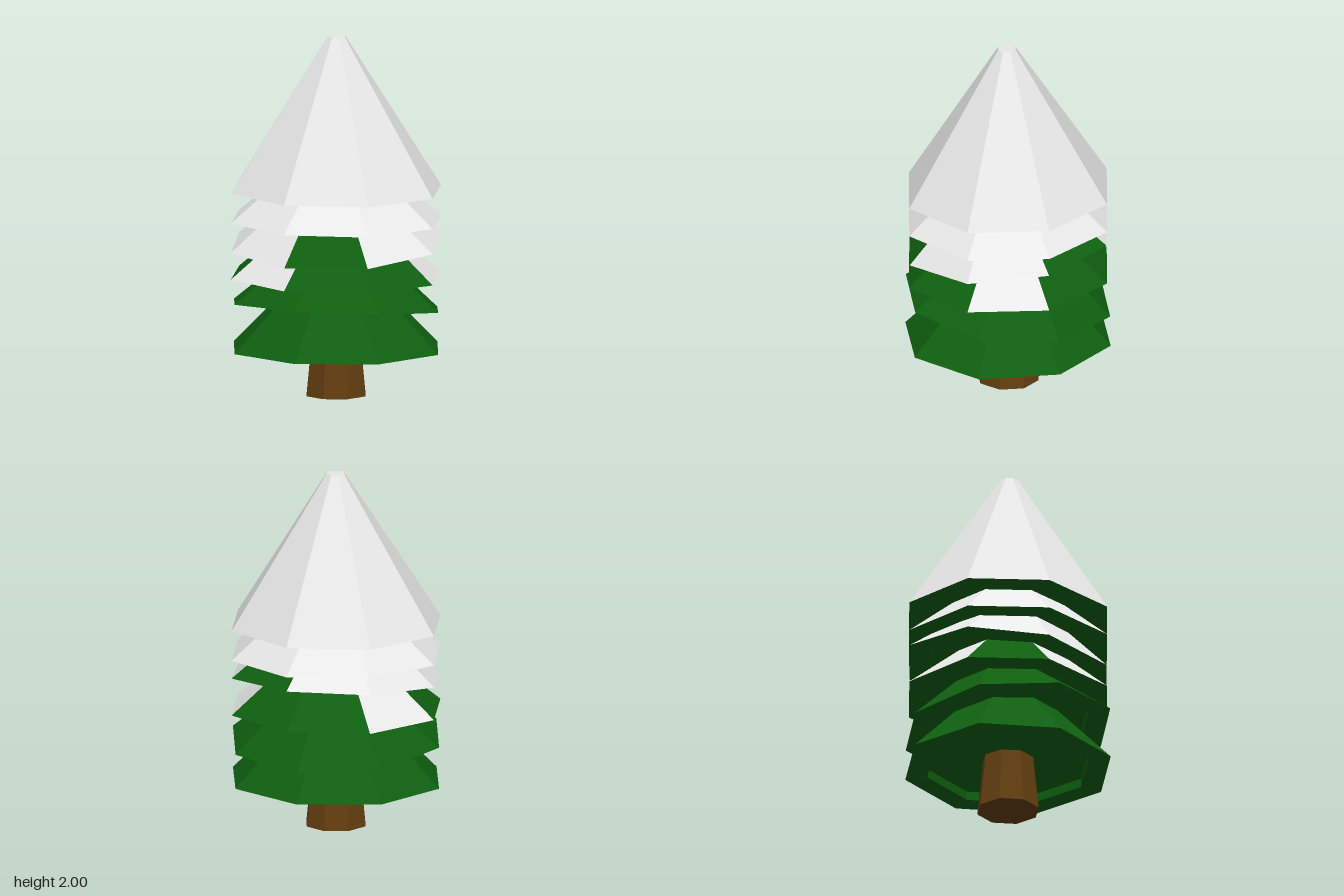
import * as THREE from 'three';

const SIDES = 8;

export function createModel() {
  const mat = (name, color) => {
    const m = new THREE.MeshStandardMaterial({ color, flatShading: true });
    m.name = name;
    return m;
  };
  const needles = mat('needleGreen', 0x0f5f10);
  const snow = mat('snowWhite', 0xe7e7e7);
  const bark = mat('barkBrown', 0x643f10);

  const model = new THREE.Group();
  model.name = 'snowyTree';

  // Tapered octagonal trunk, running up into the lowest tier
  const trunk = new THREE.Mesh(new THREE.CylinderGeometry(0.14, 0.175, 0.34, SIDES), bark);
  trunk.name = 'trunk';
  trunk.position.y = 0.17;
  model.add(trunk);

  // One branch tier: a frustum with a recessed underside.
  // snowSides has one character per side, "1" where snow covers the slope.
  function tierGeometry(topRadius, height, snowSides) {
    const profile = [[0, 0.05], [0.48, 0.05], [0.48, 0], [0.61, 0], [topRadius, height], [0, height]]
      .map(([x, y]) => new THREE.Vector2(x, y));
    const lathe = new THREE.LatheGeometry(profile, SIDES);
    const perSide = (profile.length - 1) * 6;
    for (let i = 0; i < SIDES; i++) {
      lathe.addGroup(i * perSide, 18, 0); // underside
      lathe.addGroup(i * perSide + 18, 12, Number(snowSides[i])); // slope and top
    }
    lathe.scale(1, 1, 0.96);
    const geometry = lathe.toNonIndexed();
    geometry.computeVertexNormals();
    return geometry;
  }

  // Tiers from bottom to top; sides are counted from the front towards +x
  const tiers = [
    { y: 0.26, r: 0.25, h: 0.36, tilt: 0, yaw: 0, roll: 0, snow: '00000000' },
    { y: 0.495, r: 0.27, h: 0.28, tilt: -0.098, yaw: 0, roll: 0, snow: '00000000' },
    { y: 0.664, r: 0.27, h: 0.28, tilt: 0.006, yaw: -0.11, roll: -0.009, snow: '00100101' },
    { y: 0.843, r: 0.27, h: 0.28, tilt: 0.095, yaw: -0.11, roll: -0.01, snow: '01101111' },
    { y: 0.977, r: 0.27, h: 0.28, tilt: 0.005, yaw: -0.11, roll: -0.008, snow: '11111111' },
    { y: 1.145, r: 0.053, h: 0.855, tilt: 0.006, yaw: -0.11, roll: -0.006, snow: '11111111' },
  ];
  tiers.forEach((t, i) => {
    const tier = new THREE.Mesh(tierGeometry(t.r, t.h, t.snow), [needles, snow]);
    tier.name = 'branchTier' + (i + 1);
    tier.position.y = t.y;
    tier.rotation.set(t.tilt, t.yaw, t.roll);
    model.add(tier);
  });

  return model;
}
